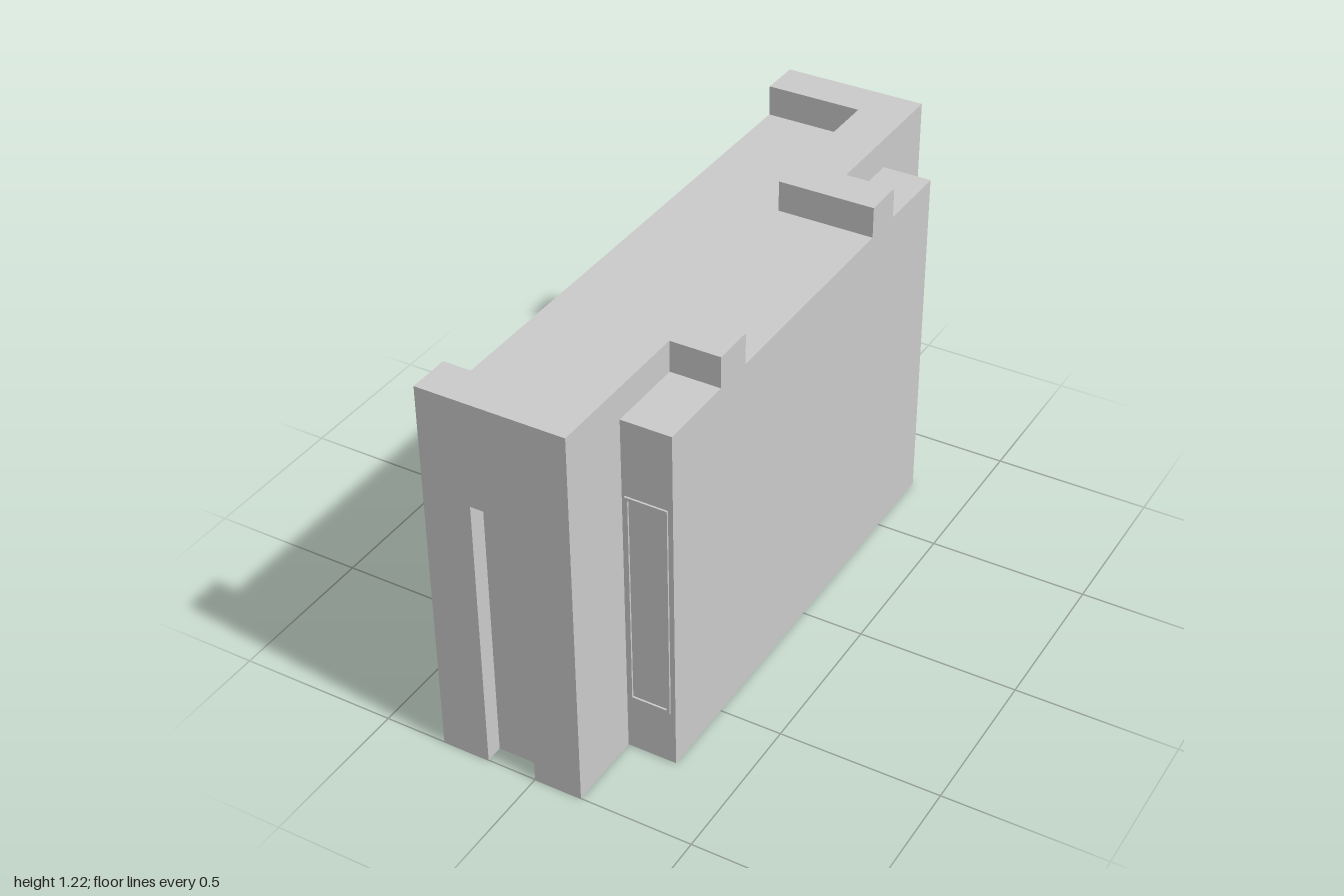
import * as THREE from 'three';
import { mergeGeometries } from 'three/addons/utils/BufferGeometryUtils.js';

const TOP = 1.217, DECK = 1.12;      // rim height, deck height
const X0 = -0.305, XS = 0.15, X1 = 0.305; // back of slab, shoulder, front of slab
const SLOT = { x0: -0.155, x1: 0, y: 0.89, z: 0.945 };

// Vertical strip following floor points [x, z] from y0 to y1
function wall(points, y0, y1) {
  const parts = [];
  for (let i = 0; i < points.length - 1; i++) {
    const [ax, az] = points[i], [bx, bz] = points[i + 1];
    const g = new THREE.PlaneGeometry(Math.hypot(bx - ax, bz - az), y1 - y0);
    g.rotateY(Math.atan2(-(bz - az), bx - ax));
    g.translate((ax + bx) / 2, (y0 + y1) / 2, (az + bz) / 2);
    parts.push(g);
  }
  return mergeGeometries(parts);
}

function polygon(points) {
  return new THREE.Shape(points.map(([x, y]) => new THREE.Vector2(x, y)));
}

// Horizontal face through floor points [x, z] at height y
function flat(points, y) {
  const g = new THREE.ShapeGeometry(polygon(points.map(([x, z]) => [x, -z])));
  return g.rotateX(-Math.PI / 2).translate(0, y, 0);
}

const rect = (x0, y0, x1, y1) => [[x0, y0], [x1, y0], [x1, y1], [x0, y1]];

export function createModel() {
  const model = new THREE.Group();
  model.name = 'slottedCasing';
  const material = new THREE.MeshStandardMaterial({
    color: 0xcccccc, flatShading: true, side: THREE.DoubleSide,
  });
  const add = (parent, name, ...geometries) => {
    const mesh = new THREE.Mesh(mergeGeometries(geometries), material);
    mesh.name = name;
    parent.add(mesh);
  };

  // Each half is the same, mirrored front to back; the bottom is open
  for (const side of [1, -1]) {
    const half = new THREE.Group();
    half.name = side > 0 ? 'frontHalf' : 'backHalf';
    half.scale.z = side;
    model.add(half);

    add(half, 'sideWalls',
      wall([[X0, 0], [X0, 0.87]], 0, DECK),
      wall([[X0, 0.87], [X0, 1]], 0, TOP),
      wall([[XS, 1], [XS, 0.75]], 0, TOP),
      wall([[XS, 0.75], [X1, 0.75], [X1, 0.5]], 0, DECK),
      wall([[X1, 0.5], [X1, 0.37]], 0, TOP),
      wall([[X1, 0.37], [X1, 0]], 0, DECK));

    // End wall cut around the slot
    const end = polygon([[X0, 0], [SLOT.x0, 0], [SLOT.x0, SLOT.y], [SLOT.x1, SLOT.y],
      [SLOT.x1, 0], [XS, 0], [XS, TOP], [X0, TOP]]);
    add(half, 'endWall', new THREE.ShapeGeometry(end).translate(0, 0, 1));

    add(half, 'endSlot',
      wall([[SLOT.x0, 1], [SLOT.x0, SLOT.z], [SLOT.x1, SLOT.z], [SLOT.x1, 1]], 0, SLOT.y),
      flat(rect(SLOT.x0, SLOT.z, SLOT.x1, 1), SLOT.y).rotateZ(Math.PI)
        .translate(SLOT.x0 + SLOT.x1, 2 * SLOT.y, 0));

    // Deck between the rims and the small ledge outside them
    add(half, 'deck',
      flat([[X0, 0], [X1, 0], [X1, 0.37], [0, 0.37], [0, 0.87], [X0, 0.87]], DECK),
      flat(rect(XS, 0.5, X1, 0.75), DECK));

    // Stepped raised rim
    add(half, 'rim',
      flat([[X0, 0.87], [0, 0.87], [0, 0.37], [X1, 0.37], [X1, 0.5], [XS, 0.5],
        [XS, 1], [X0, 1]], TOP),
      wall([[X1, 0.37], [0, 0.37], [0, 0.87], [X0, 0.87]], DECK, TOP),
      wall([[XS, 0.75], [XS, 0.5], [X1, 0.5]], DECK, TOP));

    // Thin raised frame on the shoulder
    const frame = polygon(rect(0.16, 0.18, 0.29, 0.88));
    frame.holes.push(polygon(rect(0.17, 0.19, 0.28, 0.87)));
    add(half, 'shoulderFrame',
      new THREE.ExtrudeGeometry(frame, { depth: 0.006, bevelEnabled: false }).translate(0, 0, 0.75));
  }
  return model;
}
